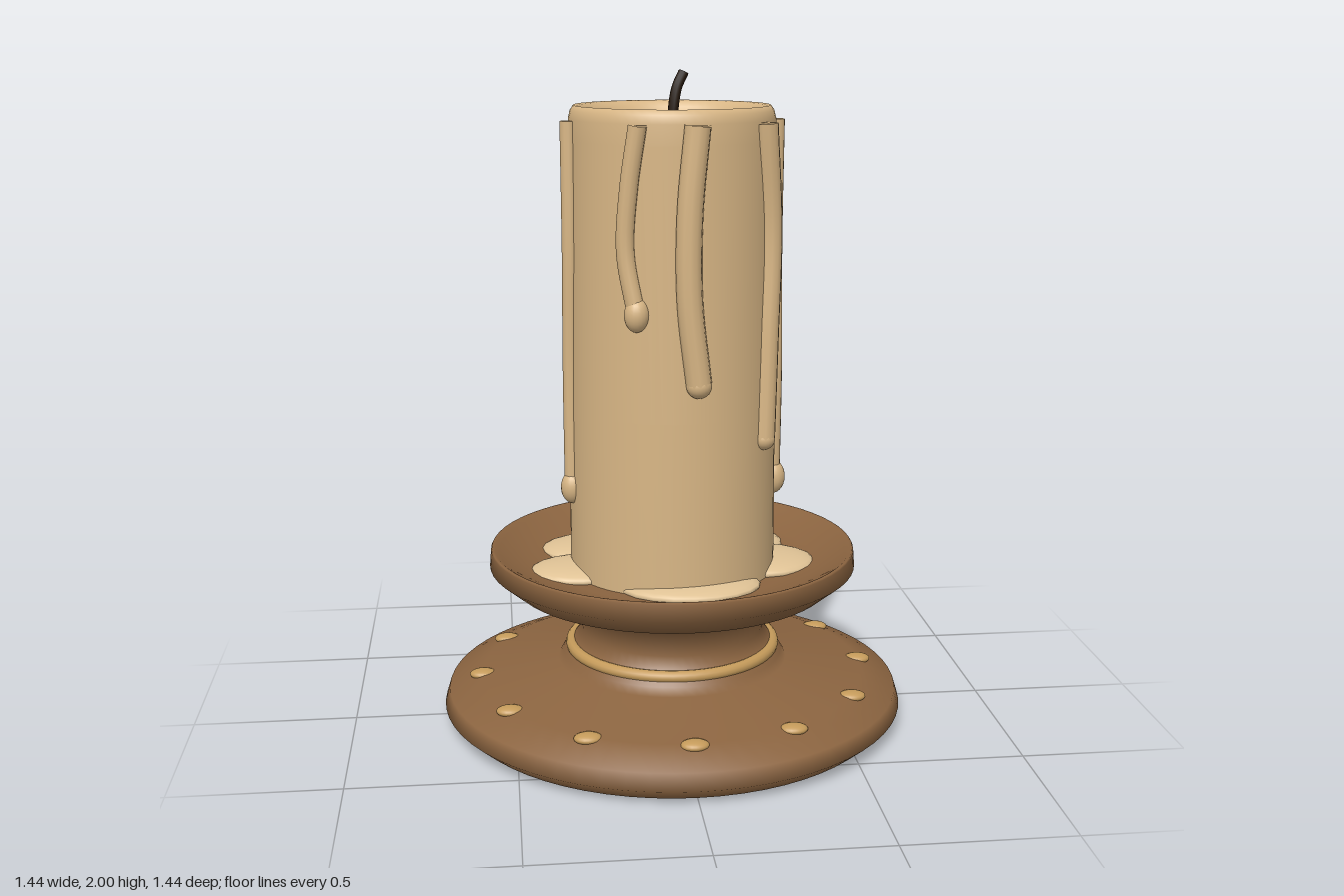
import * as THREE from 'three';

const mat = (name, color, side = THREE.FrontSide) => {
  const m = new THREE.MeshStandardMaterial({ color, side });
  m.name = name;
  return m;
};

export function createModel() {
  const wood = mat('brown wood', 0x8b6440);
  const gold = mat('gold trim', 0xc49a5a);
  const wax = mat('candle wax', 0xd8b685);
  const pooled = mat('pooled wax', 0xdfc295);
  const char = mat('charred wick', 0x24170b);

  const model = new THREE.Group();
  model.name = 'candleInHolder';

  const add = (name, geometry, material, parent = model) => {
    const mesh = new THREE.Mesh(geometry, material);
    mesh.name = name;
    parent.add(mesh);
    return mesh;
  };
  const group = (name) => {
    const g = new THREE.Group();
    g.name = name;
    model.add(g);
    return g;
  };
  const lathe = (pts) => new THREE.LatheGeometry(pts.map(([r, y]) => new THREE.Vector2(r, y)), 64);
  const blob = (name, material, parent, [x, y, z], [rx, ry, rz]) => {
    const mesh = add(name, new THREE.SphereGeometry(1, 20, 14), material, parent);
    mesh.position.set(x, y, z);
    mesh.scale.set(rx, ry, rz);
    return mesh;
  };

  // Turned holder: foot, neck and dish; doubled points keep edges crisp
  add('holder', lathe([
    [0, 0], [0.66, 0], [0.67, 0.002], [0.72, 0.045], [0.705, 0.095], [0.6, 0.135],
    [0.36, 0.175], [0.345, 0.2], [0.31, 0.24], [0.285, 0.275], [0.298, 0.365],
    [0.5, 0.43], [0.57, 0.488], [0.566, 0.54], [0.563, 0.545], [0.555, 0.545],
    [0.54, 0.535], [0.45, 0.49], [0.36, 0.475], [0, 0.472],
  ]), wood);

  // Ring around the neck
  const ring = add('neckRing', new THREE.TorusGeometry(0.318, 0.019, 12, 64), gold);
  ring.rotation.x = Math.PI / 2;
  ring.position.y = 0.223;

  // Studs around the foot
  const studs = group('studs');
  for (let i = 0; i < 12; i++) {
    const a = (i / 12) * Math.PI * 2;
    blob('stud', gold, studs, [0.6 * Math.sin(a), 0.131, 0.6 * Math.cos(a)], [0.042, 0.016, 0.032]);
  }

  // Candle with a hollowed top
  add('candle', lathe([
    [0, 0.46], [0.318, 0.46], [0.318, 0.465], [0.316, 1.0], [0.309, 1.8], [0.309, 1.86],
    [0.303, 1.885], [0.293, 1.9], [0.282, 1.897], [0.268, 1.88], [0.25, 1.85],
    [0.2, 1.82], [0.1, 1.803], [0, 1.8],
  ]), wax);

  // Bent wick
  const wickPath = new THREE.CatmullRomCurve3([
    new THREE.Vector3(0, 1.79, 0.005), new THREE.Vector3(0.003, 1.89, 0.006),
    new THREE.Vector3(0.014, 1.95, 0), new THREE.Vector3(0.035, 1.994, -0.01),
  ]);
  add('wick', new THREE.TubeGeometry(wickPath, 16, 0.016, 10), char);
  const wickTip = add('wickTip', new THREE.CircleGeometry(0.016, 10), char);
  wickTip.position.copy(wickPath.getPoint(1));
  wickTip.lookAt(wickPath.getPoint(1).add(wickPath.getTangent(1)));

  // Wax runs: angles in degrees from the front, end height, radius, bulb radius
  const drips = group('waxDrips');
  const top = 1.857;
  const runs = [
    [[-24, -29, -31, -25], 1.32, 0.027, 0.036],
    [[7, 3, 3, 8], 1.115, 0.038, 0],
    [[53, 60, 57, 54], 0.92, 0.034, 0],
    [[90, 92, 87, 90], 0.75, 0.022, 0.038],
    [[113, 106, 105, 112], 0.73, 0.039, 0],
    [[140, 141, 145, 143], 1.32, 0.019, 0.033],
    [[194, 196, 199, 195], 1.13, 0.025, 0.038],
    [[229, 225, 223, 229], 0.92, 0.034, 0],
    [[280, 281, 279, 280], 0.75, 0.024, 0.036],
  ];
  for (const [angles, end, r, bulb] of runs) {
    const path = new THREE.CatmullRomCurve3(angles.map((deg, i) => {
      const a = THREE.MathUtils.degToRad(deg);
      const y = THREE.MathUtils.lerp(top, end, i / 3);
      return new THREE.Vector3(0.317 * Math.sin(a), y, 0.317 * Math.cos(a));
    }));
    add('drip', new THREE.TubeGeometry(path, 28, r, 12), wax, drips);
    const cap = add('dripTop', new THREE.CircleGeometry(r, 12), wax, drips);
    cap.position.copy(path.getPoint(0));
    cap.rotation.x = -Math.PI / 2;
    const size = bulb ? [bulb, bulb * 1.4, bulb] : [r, r, r];
    blob('dripEnd', wax, drips, path.getPoint(1).toArray(), size);
  }

  // Pooled wax in the dish: x, z, half width, half depth
  const pools = group('waxPools');
  for (const [x, z, rx, rz] of [
    [0.28, 0.02, 0.17, 0.15], [-0.29, 0.05, 0.158, 0.13], [-0.235, -0.165, 0.17, 0.135],
    [0.2, -0.18, 0.18, 0.15], [0.03, 0.225, 0.215, 0.15],
  ]) blob('waxPool', pooled, pools, [x, 0.48, z], [rx, 0.032, rz]);

  return model;
}
